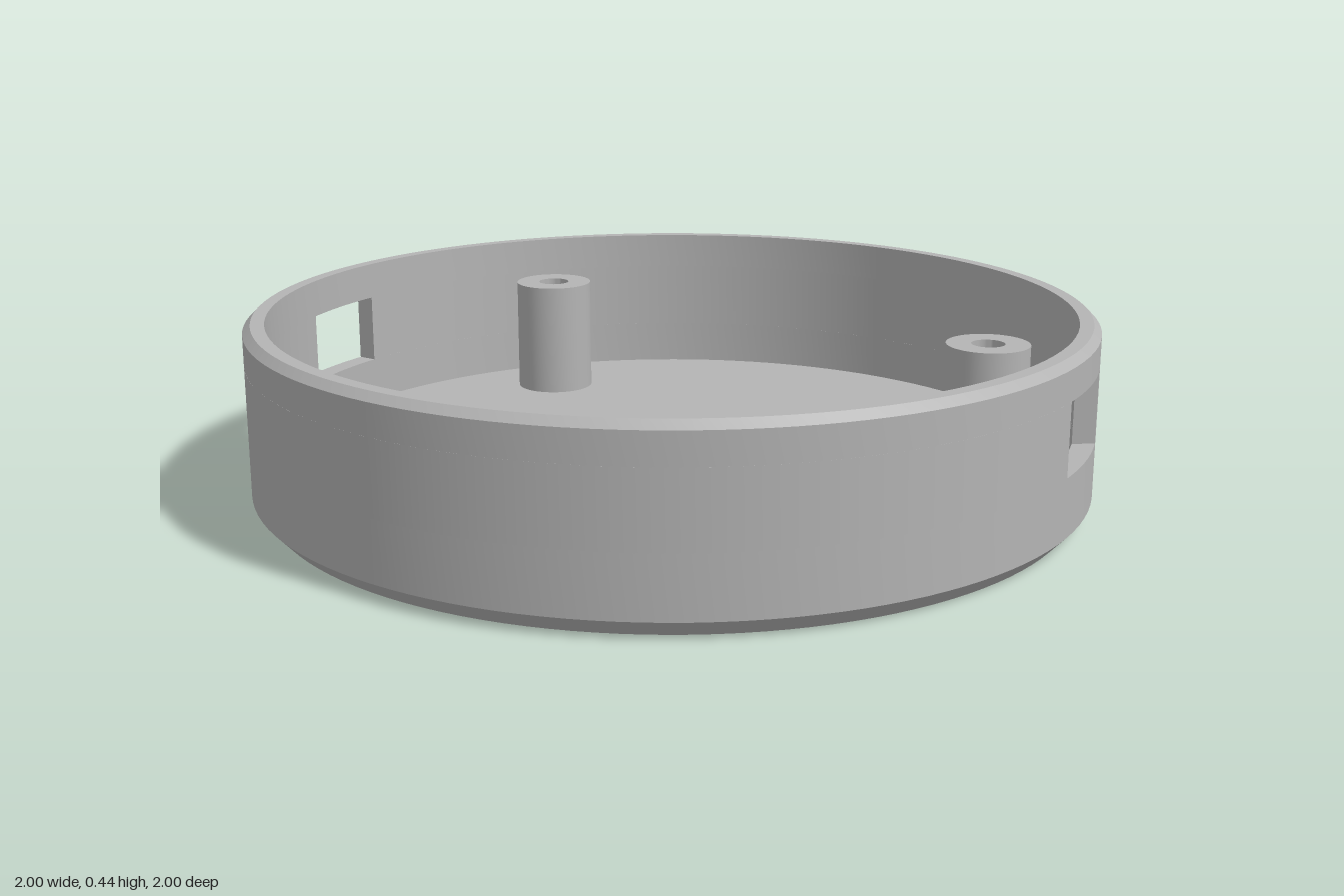
import * as THREE from 'three';
import { toCreasedNormals } from 'three/addons/utils/BufferGeometryUtils.js';

const SEG = 128, FLOOR = 0.07, INNER = 0.95;
const SLOT_LOW = 0.18, SLOT_HIGH = 0.35;

export function createModel() {
  const model = new THREE.Group();
  const grey = new THREE.MeshStandardMaterial({ color: 0xb4b4b4 });
  grey.name = 'plain grey';

  const add = (name, geometry, x = 0, y = 0, z = 0) => {
    const mesh = new THREE.Mesh(toCreasedNormals(geometry, 0.4), grey);
    mesh.name = name;
    mesh.position.set(x, y, z);
    model.add(mesh);
    return mesh;
  };
  const lathe = (points, segments = SEG) =>
    new THREE.LatheGeometry(points.map(([r, y]) => new THREE.Vector2(r, y)), segments);
  const extrudeUp = (shape, depth) =>
    new THREE.ExtrudeGeometry(shape, { depth, bevelEnabled: false, curveSegments: SEG }).rotateX(-Math.PI / 2);

  // Floor disc with the square opening
  const disc = new THREE.Shape().absarc(0, 0, INNER, 0, Math.PI * 2, false);
  const square = new THREE.Path();
  square.moveTo(-0.257, -0.25).lineTo(-0.257, 0.25).lineTo(0.257, 0.25).lineTo(0.257, -0.25).closePath();
  disc.holes.push(square);
  add('floor', extrudeUp(disc, FLOOR));

  // Wall below the side slots, chamfered at the foot
  add('lowerWall', lathe([
    [INNER, 0], [0.963, 0], [1, 0.04], [1, SLOT_LOW], [INNER, SLOT_LOW], [INNER, FLOOR],
  ]));

  // Wall above the side slots, with a small chamfer on the rim
  add('upperWall', lathe([
    [INNER, SLOT_HIGH], [1, SLOT_HIGH], [1, 0.422], [0.982, 0.44], [INNER, 0.44], [INNER, SLOT_HIGH],
  ]));

  // Two arcs of wall between the slots; one end of each is cut at a slant
  const arc = new THREE.Shape();
  arc.absarc(0, 0, 1, Math.asin(0.311), Math.PI + Math.asin(0.03), false);
  arc.absarc(0, 0, INNER, Math.PI + Math.asin(0.03 / INNER), Math.asin(0.278 / INNER), true);
  for (const [name, turn] of [['backWall', 0], ['frontWall', Math.PI]]) {
    add(name, extrudeUp(arc, SLOT_HIGH - SLOT_LOW), 0, SLOT_LOW, 0).rotation.y = turn;
  }

  // Three hollow screw posts
  for (let i = 0; i < 3; i++) {
    const a = (i * Math.PI * 2) / 3;
    add('screwPost' + (i + 1), lathe([
      [0.1, FLOOR], [0.1, 0.36], [0.04, 0.36], [0.04, FLOOR],
    ], 48), 0.75 * Math.sin(a), 0, 0.75 * Math.cos(a));
  }
  return model;
}
